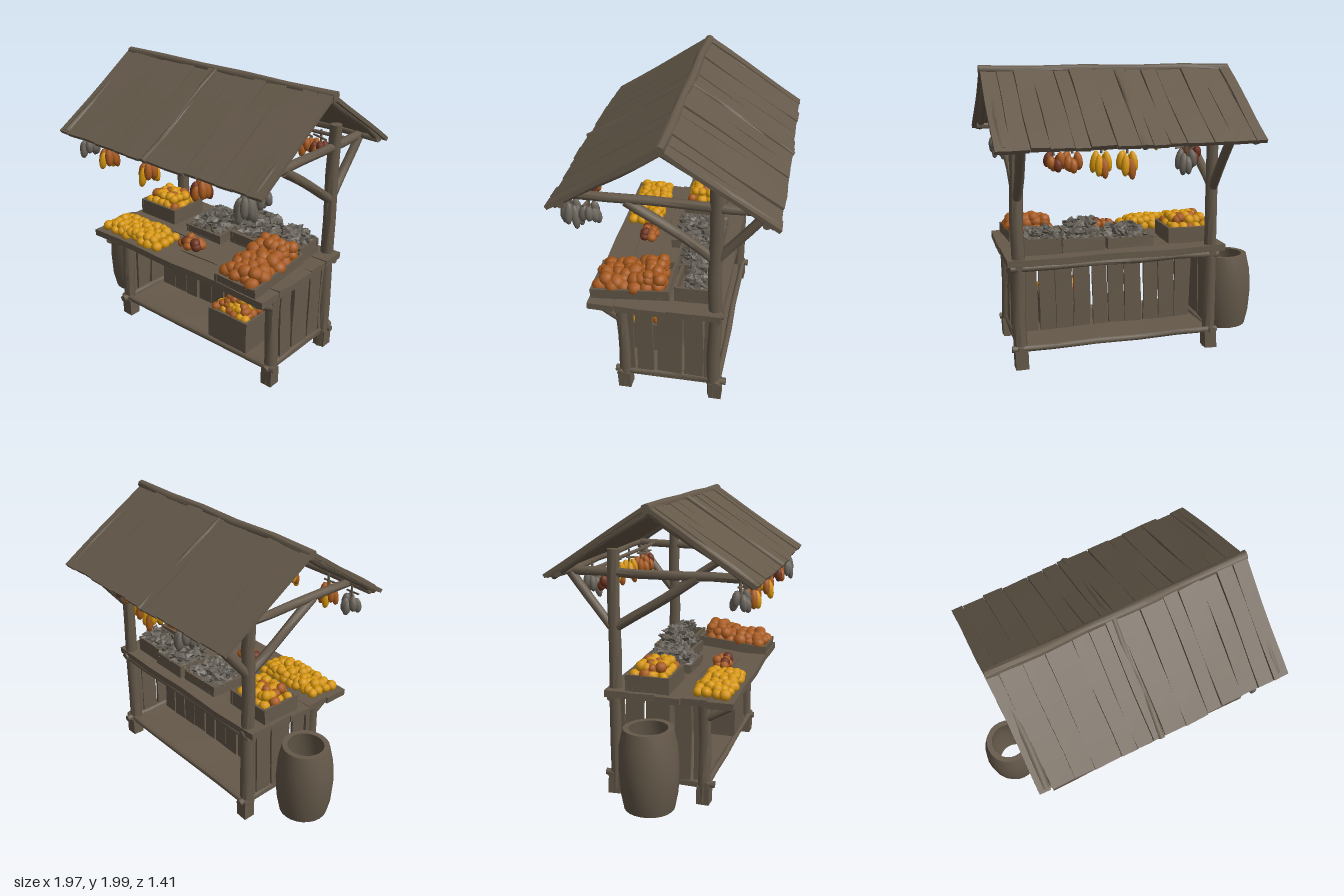
import * as THREE from 'three';
import { mergeGeometries, toCreasedNormals } from 'three/addons/utils/BufferGeometryUtils.js';

const mat = (name, color) => {
  const m = new THREE.MeshStandardMaterial({ color });
  m.name = name;
  return m;
};

export function createModel() {
  const model = new THREE.Group();
  model.name = 'marketStall';
  const wood = mat('weathered wood', 0x65594a);
  const yellow = mat('yellow fruit', 0xd6960c);
  const orange = mat('orange fruit', 0xa85a1e);
  const red = mat('dark red fruit', 0x6e3320);
  const grey = mat('grey produce', 0x6a645b);
  const dark = mat('dark leaves', 0x625d55);

  let seed = 7;
  const rnd = () => (seed = (seed * 16807) % 2147483647) / 2147483647;
  const range = (a, b) => a + (b - a) * rnd();
  const V = (x, y, z) => new THREE.Vector3(x, y, z);

  const add = (name, geo, material, parent = model) => {
    const mesh = new THREE.Mesh(geo, material);
    mesh.name = name;
    parent.add(mesh);
    return mesh;
  };
  const group = (name) => {
    const g = new THREE.Group();
    g.name = name;
    model.add(g);
    return g;
  };
  // Gives wood a slightly uneven, hand-cut outline
  const warp = (geo, amount) => {
    const p = geo.attributes.position, s = range(0, 50);
    for (let i = 0; i < p.count; i++) {
      const x = p.getX(i), y = p.getY(i), z = p.getZ(i);
      p.setXYZ(i,
        x + amount * Math.sin(9 * y + 7 * z + s),
        y + amount * Math.sin(8 * x + 6 * z + s * 2),
        z + amount * Math.sin(9 * x + 8 * y + s * 3));
    }
    return toCreasedNormals(geo, 0.8);
  };
  // Plank given by its two opposite corners
  const plank = (name, a, b, parent, amount = 0.004) => {
    const d = b.map((v, i) => v - a[i]);
    const n = d.map((v) => Math.max(1, Math.round(v / 0.2)));
    const m = add(name, warp(new THREE.BoxGeometry(...d, ...n), amount), wood, parent);
    m.position.set(...a.map((v, i) => (v + b[i]) / 2));
    return m;
  };
  // Rough round timber between two points
  const beam = (name, a, b, r, parent = model, r2 = r) => {
    const d = b.clone().sub(a);
    const geo = warp(new THREE.CylinderGeometry(r2, r, d.length(), 8, 5), 0.005);
    const m = add(name, geo, wood, parent);
    m.position.copy(a).add(b).multiplyScalar(0.5);
    m.quaternion.setFromUnitVectors(V(0, 1, 0), d.normalize());
    return m;
  };

  // Roof boards on both slopes, over a thin lining
  const roof = group('roof');
  const pitch = Math.atan2(0.45, 0.69);
  const edges = [-0.78, -0.7, -0.55, -0.41, -0.23, -0.12, -0.01, 0.07, 0.22, 0.38, 0.48, 0.63, 0.75, 0.86, 0.965];
  for (const s of [1, -1]) {
    for (let i = 0; i < edges.length - 1; i++) {
      const len = 0.815 + range(-0.012, 0.012);
      const w = edges[i + 1] - edges[i] - 0.005;
      const m = add('roofBoard', warp(new THREE.BoxGeometry(w, 0.026, len, 1, 1, 5), 0.003), wood, roof);
      m.position.set((edges[i] + edges[i + 1]) / 2, 1.732 + range(-0.006, 0.006), s * len * 0.419);
      m.rotation.x = s * pitch;
    }
    const lining = add('roofLining', new THREE.BoxGeometry(1.7, 0.008, 0.79), wood, roof);
    lining.position.set(0.09, 1.718, s * 0.335);
    lining.rotation.x = s * pitch;
    beam('eaveBeam', V(-0.74, 1.525, s * 0.6), V(0.94, 1.525, s * 0.6), 0.025, roof);
    for (const x of [-0.72, 0.91])
      beam('gableRafter', V(x, 1.93, 0), V(x, 1.515, s * 0.65), 0.03, roof);
    beam('battenStrip', V(0.05, 1.955, 0), V(0.05, 1.51, s * 0.69), 0.022, roof);
  }
  beam('ridgePole', V(-0.78, 1.95, 0), V(0.965, 1.95, 0), 0.032, roof);

  // Posts, braces and tie beams at each end
  const frame = group('frame');
  for (const x of [-0.555, 0.79]) {
    beam('backPost', V(x, 0, -0.3), V(x, 1.67, -0.3), 0.047, frame, 0.042);
    beam('frontPost', V(x, 0, 0.31), V(x, 0.72, 0.31), 0.042, frame);
    for (const z of [0.31, -0.31])
      plank('foot', [x - 0.043, 0, z - 0.043], [x + 0.043, 0.13, z + 0.043], frame);
    beam('tieBeam', V(x, 1.52, -0.62), V(x, 1.52, 0.6), 0.03, frame);
    beam('longBrace', V(x, 1.16, -0.28), V(x, 1.51, 0.25), 0.032, frame);
    beam('shortBrace', V(x, 1.16, -0.32), V(x, 1.51, -0.59), 0.032, frame);
    beam('counterBracket', V(x, 0.6, 0.32), V(x, 0.7, 0.49), 0.03, frame);
    beam('sideRail', V(x, 0.14, -0.38), V(x, 0.14, 0.38), 0.024, frame);
    beam('topRail', V(x, 0.7, -0.36), V(x, 0.7, 0.36), 0.024, frame);
  }

  // Counter top, floor, and slatted walls with the long one set back
  const counter = group('counter');
  for (let i = 0; i < 5; i++) {
    const z = -0.35 + i * 0.174;
    plank('counterBoard', [-0.65 - range(0, 0.015), 0.705, z], [0.86 + range(0, 0.015), 0.75, z + 0.173], counter);
  }
  plank('floor', [-0.58, 0.115, -0.31], [0.81, 0.14, 0.31], counter);
  for (const z of [0.33, -0.33]) {
    beam('bottomRail', V(-0.6, 0.135, z), V(0.85, 0.135, z), 0.022, counter);
    beam('upperRail', V(-0.6, 0.69, z), V(0.85, 0.69, z), 0.022, counter);
  }
  for (let i = 0; i < 10; i++) {
    const x = -0.51 + i * 0.126;
    plank('longWallSlat', [x, 0.13, -0.03], [x + range(0.105, 0.121), 0.71, -0.01], counter);
  }
  for (const x of [-0.56, 0.79]) {
    for (const [z0, z1] of [[-0.27, -0.235], [-0.225, -0.1], [-0.085, 0.08], [0.11, 0.222], [0.24, 0.28]])
      plank('sideSlat', [x - 0.01, 0.14, z0], [x + 0.01, 0.71, z1], counter);
  }

  // Open barrel with thick walls
  const profile = [[0.125, 0.05], [0.165, 0.05], [0.187, 0.16], [0.197, 0.32], [0.188, 0.47], [0.162, 0.59],
    [0.125, 0.59], [0.15, 0.45], [0.16, 0.32], [0.15, 0.18], [0.125, 0.05]].map(([r, y]) => new THREE.Vector2(r, y));
  const barrel = add('barrel', warp(new THREE.LatheGeometry(profile, 24), 0.003), wood);
  barrel.position.set(-0.8, 0, 0.01);

  // Open crate: centre x, base y, centre z, then width, height, depth and tilt
  const crate = (x, y, z, w, h, d, tilt = 0) => {
    const g = group('crate'), t = 0.018;
    plank('crateFloor', [-w / 2, 0, -d / 2], [w / 2, t, d / 2], g, 0.002);
    for (const s of [-1, 1]) {
      const cx = s * (w / 2 - t / 2), cz = s * (d / 2 - t / 2);
      plank('crateSide', [cx - t / 2, 0, -d / 2], [cx + t / 2, h, d / 2], g, 0.003);
      plank('crateEnd', [-w / 2, 0, cz - t / 2], [w / 2, h, cz + t / 2], g, 0.003);
    }
    g.position.set(x, y, z);
    g.rotation.x = tilt;
    return g;
  };
  // Heap of pieces, higher in the middle, shared out over the given materials
  const heap = (name, mats, [x, y, z], [w, h, d], nx, nz, r, leafy = false, parent = model) => {
    const lists = mats.map(() => []);
    for (let layer = 0; layer < (leafy ? 3 : 2); layer++) {
      const k = 1 - layer * (leafy ? 0.16 : 0.22);
      for (let i = 0; i < nx; i++) for (let j = 0; j < nz; j++) {
        const geo = leafy ? new THREE.OctahedronGeometry(r) : new THREE.IcosahedronGeometry(r * range(0.85, 1.1), 1);
        geo.scale(1, leafy ? 0.4 : 0.9, leafy ? 0.7 : 1);
        geo.rotateX(range(-1, 1)).rotateY(range(0, 6)).rotateZ(range(-1, 1));
        geo.translate(
          x + ((i + 0.5) / nx - 0.5) * w * k + range(-0.3, 0.3) * r,
          y + layer * h / (leafy ? 2 : 1) + range(-0.25, 0.25) * r,
          z + ((j + 0.5) / nz - 0.5) * d * k + range(-0.3, 0.3) * r);
        lists[Math.floor(rnd() * mats.length)].push(geo);
      }
    }
    lists.forEach((l, i) => l.length && add(name, mergeGeometries(l), mats[i], parent));
  };

  // Produce on the counter
  heap('yellowFruitPile', [yellow], [-0.35, 0.775, 0.36], [0.55, 0.025, 0.26], 8, 4, 0.038);
  crate(-0.45, 0.75, -0.06, 0.34, 0.11, 0.3);
  heap('yellowCrateFruit', [yellow, yellow, yellow, orange], [-0.45, 0.855, -0.06], [0.3, 0.045, 0.25], 5, 4, 0.04);
  crate(0.01, 0.75, -0.08, 0.32, 0.07, 0.36, 0.06);
  heap('greyLeaves', [grey, dark], [0.01, 0.815, -0.08], [0.3, 0.045, 0.33], 7, 7, 0.042, true);
  crate(0.34, 0.75, -0.13, 0.29, 0.09, 0.3, 0.06);
  heap('tallGreyLeaves', [grey, dark], [0.34, 0.84, -0.14], [0.28, 0.09, 0.24], 7, 7, 0.042, true);
  heap('looseFruit', [orange, red], [0.07, 0.785, 0.28], [0.18, 0.025, 0.12], 3, 2, 0.035);
  const bigCrate = crate(0.64, 0.765, 0.25, 0.33, 0.07, 0.52, 0.1);
  heap('orangeFruit', [orange], [0, 0.07, 0.01], [0.3, 0.03, 0.46], 4, 6, 0.05, false, bigCrate);
  heap('orangeFruitTop', [orange], [0, 0.115, -0.15], [0.28, 0.02, 0.17], 4, 2, 0.046, false, bigCrate);
  crate(0.62, 0.75, -0.14, 0.26, 0.11, 0.22);
  heap('cornerGreyLeaves', [grey, dark], [0.62, 0.855, -0.17], [0.24, 0.05, 0.14], 7, 5, 0.038, true);

  // Crate of fruit standing on the floor inside the open front
  crate(0.43, 0.15, 0.19, 0.33, 0.23, 0.28);
  heap('lowCrateFruit', [yellow, orange], [0.43, 0.385, 0.19], [0.29, 0.035, 0.24], 6, 5, 0.033);
  heap('lowCrateTop', [yellow, orange, orange], [0.44, 0.44, 0.19], [0.17, 0.03, 0.16], 4, 3, 0.032);

  // Hanging bunches: a short stem with long pods around it, in one or more colours
  const bunch = (x, z, mats, size = 1) => {
    const g = group('hangingBunch'), lists = mats.map(() => []);
    beam('stem', V(0, -0.06, 0), V(0, 0.03, 0), 0.008, g);
    beam('twig', V(-0.06, -0.02, 0), V(0.06, -0.03, 0.02), 0.007, g);
    for (let i = 0; i < 7; i++) {
      const a = i * Math.PI / 3.5 + range(-0.2, 0.2), len = size * range(0.058, 0.072);
      const pod = new THREE.SphereGeometry(1, 8, 6);
      pod.scale(0.028, len, 0.028).rotateZ(0.18);
      pod.translate(0.043, -0.04 - len - (i % 3) * 0.02, 0).rotateY(a);
      lists[i % mats.length].push(pod);
    }
    lists.forEach((l, i) => add('pods', mergeGeometries(l), mats[i], g));
    g.position.set(x, 1.51, z);
  };
  // Front row
  [[-0.63, 0.55, [grey], 0.8], [-0.41, 0.57, [orange, orange, yellow]], [-0.02, 0.58, [orange, yellow], 0.95],
    [0.43, 0.58, [orange, red, orange], 0.85], [0.78, 0.59, [grey], 1.15], [0.8, 0.47, [grey], 0.8],
  // Back row
    [-0.35, -0.42, [red], 0.6], [-0.26, -0.57, [grey]], [0.12, -0.54, [yellow, yellow, orange]],
    [0.28, -0.5, [yellow, yellow, orange]], [0.46, -0.47, [orange], 0.8], [0.57, -0.47, [red, orange], 0.7],
  ].forEach(([x, z, m, s]) => bunch(x, z, m, s));
  beam('hangingPole', V(-0.58, 1.52, -0.47), V(0.8, 1.52, -0.47), 0.014);

  return model;
}
